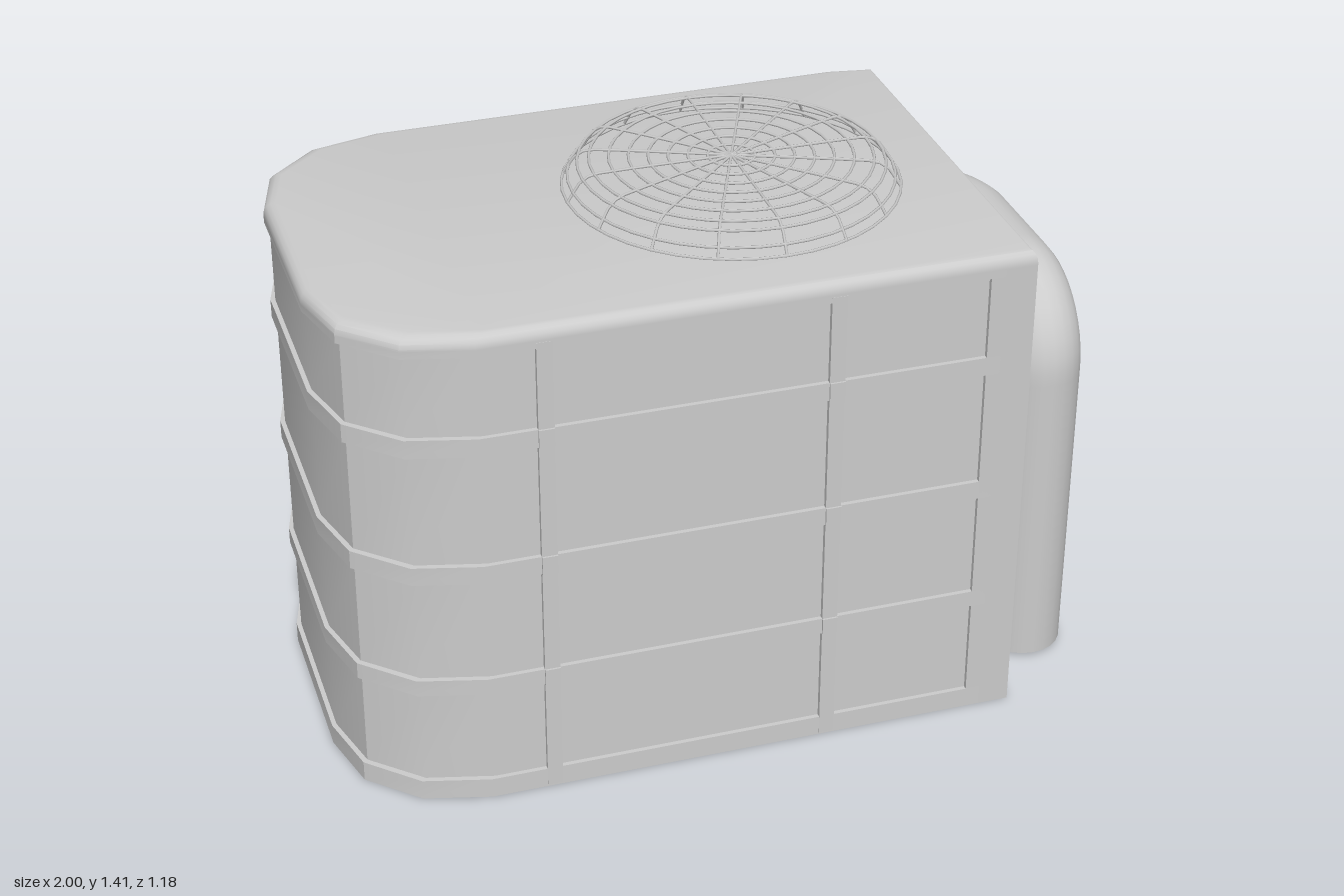
import * as THREE from 'three';
import { toCreasedNormals } from 'three/addons/utils/BufferGeometryUtils.js';

const grey = new THREE.MeshStandardMaterial({ color: 0xcccccc });
const greyOpen = new THREE.MeshStandardMaterial({ color: 0xcccccc, side: THREE.DoubleSide });

function add(parent, name, geometry, x = 0, y = 0, z = 0, material = grey) {
  const mesh = new THREE.Mesh(geometry, material);
  mesh.name = name;
  mesh.position.set(x, y, z);
  parent.add(mesh);
  return mesh;
}

// Floor plan of the housing, pulled in by d; flat at xEnd, rounded at the other end
function plan(d, xEnd, endInset) {
  const pts = [
    [-0.66, 0.58], [xEnd, 0.58], [xEnd, -0.565], [0.62, -0.585], [-0.66, -0.57],
    [-0.83, -0.525], [-0.955, -0.405], [-1, -0.24], [-1, 0.24], [-0.955, 0.415], [-0.83, 0.535],
  ];
  const s = 1 - d / 0.58;
  return pts.map(([x, z]) => [x < -0.6 ? x + d : x === xEnd ? x - d * endInset : x, z * s]);
}

// Stacks plans along a profile of [height, inset] and closes both ends
function loft(profile, xEnd, endInset = 0) {
  const pos = [];
  const rings = profile.map(([y, d]) => plan(d, xEnd, endInset).map(([x, z]) => [x, y, z]));
  const n = rings[0].length;
  for (let k = 0; k + 1 < rings.length; k++) {
    for (let i = 0; i < n; i++) {
      const j = (i + 1) % n;
      const [a, b, c, e] = [rings[k][i], rings[k][j], rings[k + 1][j], rings[k + 1][i]];
      pos.push(...a, ...b, ...c, ...a, ...c, ...e);
    }
  }
  const bottom = rings[0], top = rings[rings.length - 1];
  for (let i = 1; i + 1 < n; i++) {
    pos.push(...top[0], ...top[i], ...top[i + 1]);
    pos.push(...bottom[0], ...bottom[i + 1], ...bottom[i]);
  }
  const g = new THREE.BufferGeometry();
  g.setAttribute('position', new THREE.Float32BufferAttribute(pos, 3));
  return toCreasedNormals(g, 0.55);
}

// Pipe along straight runs with rounded corners
function pipe(points, radius, bend) {
  const p = points.map((q) => new THREE.Vector3(...q));
  const path = new THREE.CurvePath();
  let from = p[0];
  for (let i = 1; i < p.length - 1; i++) {
    const toward = (q, t) => p[i].clone().add(q.clone().sub(p[i]).setLength(t));
    const a = toward(p[i - 1], bend), b = toward(p[i + 1], bend);
    const h1 = toward(p[i - 1], bend * 0.45), h2 = toward(p[i + 1], bend * 0.45);
    path.add(new THREE.LineCurve3(from, a));
    path.add(new THREE.CubicBezierCurve3(a, h1, h2, b));
    from = b;
  }
  path.add(new THREE.LineCurve3(from, p[p.length - 1]));
  return new THREE.TubeGeometry(path, 64, radius, 24, false);
}

export function createModel() {
  const model = new THREE.Group();
  model.name = 'outdoorCoolingUnit';

  // Housing wall: recessed panels between horizontal bands
  const inset = 0.012;
  const bands = [[0, 0.055], [0.32, 0.365], [0.65, 0.7], [1.01, 1.06], [1.28, 1.3]];
  const profile = [];
  bands.forEach(([lo, hi], i) => {
    if (i > 0) profile.push([lo, inset]);
    profile.push([lo, 0], [hi, 0]);
    if (i < bands.length - 1) profile.push([hi, inset]);
  });
  add(model, 'housing', loft(profile, 0.665));

  // Lid with rounded rim
  const rim = [[1.3, 0]];
  for (let i = 0; i <= 4; i++) {
    const a = (i / 4) * Math.PI / 2;
    rim.push([1.305 + 0.03 * Math.sin(a), 0.03 * (1 - Math.cos(a))]);
  }
  add(model, 'lid', loft(rim, 0.745, 0.5));

  // Flat end plate with two pipe openings
  const plate = new THREE.Shape();
  plate.moveTo(-0.58, 0).lineTo(0.565, 0).lineTo(0.565, 1.3).lineTo(-0.58, 1.3).closePath();
  for (const [lo, hi] of [[0.375, 0.56], [0.88, 1.15]]) {
    const hole = new THREE.Path();
    hole.moveTo(-0.015, lo).lineTo(-0.015, hi).lineTo(0.447, hi).lineTo(0.447, lo).closePath();
    plate.holes.push(hole);
  }
  const plateGeo = new THREE.ExtrudeGeometry(plate, { depth: 0.08, bevelEnabled: false });
  plateGeo.rotateY(Math.PI / 2);
  add(model, 'endPlate', plateGeo, 0.665, 0, 0);

  // Upright ribs, corner frames and small clips on both long sides
  for (const side of [1, -1]) {
    const label = side > 0 ? 'front' : 'back';
    add(model, label + 'CornerFrame', new THREE.BoxGeometry(0.04, 1.3, 0.04),
      0.645, 0.65, side > 0 ? 0.56 : -0.562);
    for (const x of [-0.495, 0.235]) {
      const face = side > 0 ? 0.581 : x < 0 ? 0.576 : 0.584;
      add(model, label + 'Rib', new THREE.BoxGeometry(0.04, 1.29, 0.03), x, 0.65, side * (face - 0.015));
      for (const [lo, hi] of bands.slice(1, 4)) {
        const out = side > 0 ? 0.586 : 0.594;
        add(model, label + 'Clip', new THREE.BoxGeometry(0.04, hi - lo, 0.03),
          x, (lo + hi) / 2, side * (out - 0.015));
      }
    }
  }

  // Wire fan guard: rings and spokes over a shallow dome
  const guard = new THREE.Group();
  guard.name = 'fanGuard';
  guard.position.set(0.155, 0, -0.008);
  model.add(guard);
  const rings = [[0.43, 1.338], [0.415, 1.362], [0.39, 1.395], [0.36, 1.406]];
  for (let r = 0.31; r > 0.05; r -= 0.05) rings.push([r, 1.408]);
  for (const [r, y] of rings) {
    add(guard, 'guardRing', new THREE.TorusGeometry(r, 0.004, 5, 40).rotateX(Math.PI / 2), 0, y, 0);
  }
  const spokeCurve = new THREE.CatmullRomCurve3(
    [...rings.slice(0, 5), [0, 1.408]].map(([r, y]) => new THREE.Vector3(r, y, 0)));
  const spokeGeo = new THREE.TubeGeometry(spokeCurve, 16, 0.004, 5, false);
  for (let i = 0; i < 16; i++) {
    add(guard, 'guardSpoke', spokeGeo).rotation.y = (i / 16) * Math.PI * 2;
  }

  // Large duct and two thin pipes, open at the bottom
  add(model, 'largeDuct', pipe(
    [[0.89, 0.01, 0.316], [0.89, 1.03, 0.316], [0.89, 1.03, -0.312], [0.67, 1.03, -0.312]], 0.109, 0.17),
  0, 0, 0, greyOpen);
  add(model, 'thinPipe', pipe(
    [[0.825, 0.005, -0.105], [0.825, 0.49, -0.105], [0.67, 0.49, -0.105]], 0.052, 0.08), 0, 0, 0, greyOpen);
  add(model, 'thinPipe', pipe(
    [[0.825, 0.01, -0.25], [0.825, 0.41, -0.25], [0.67, 0.41, -0.25]], 0.044, 0.07), 0, 0, 0, greyOpen);

  return model;
}
